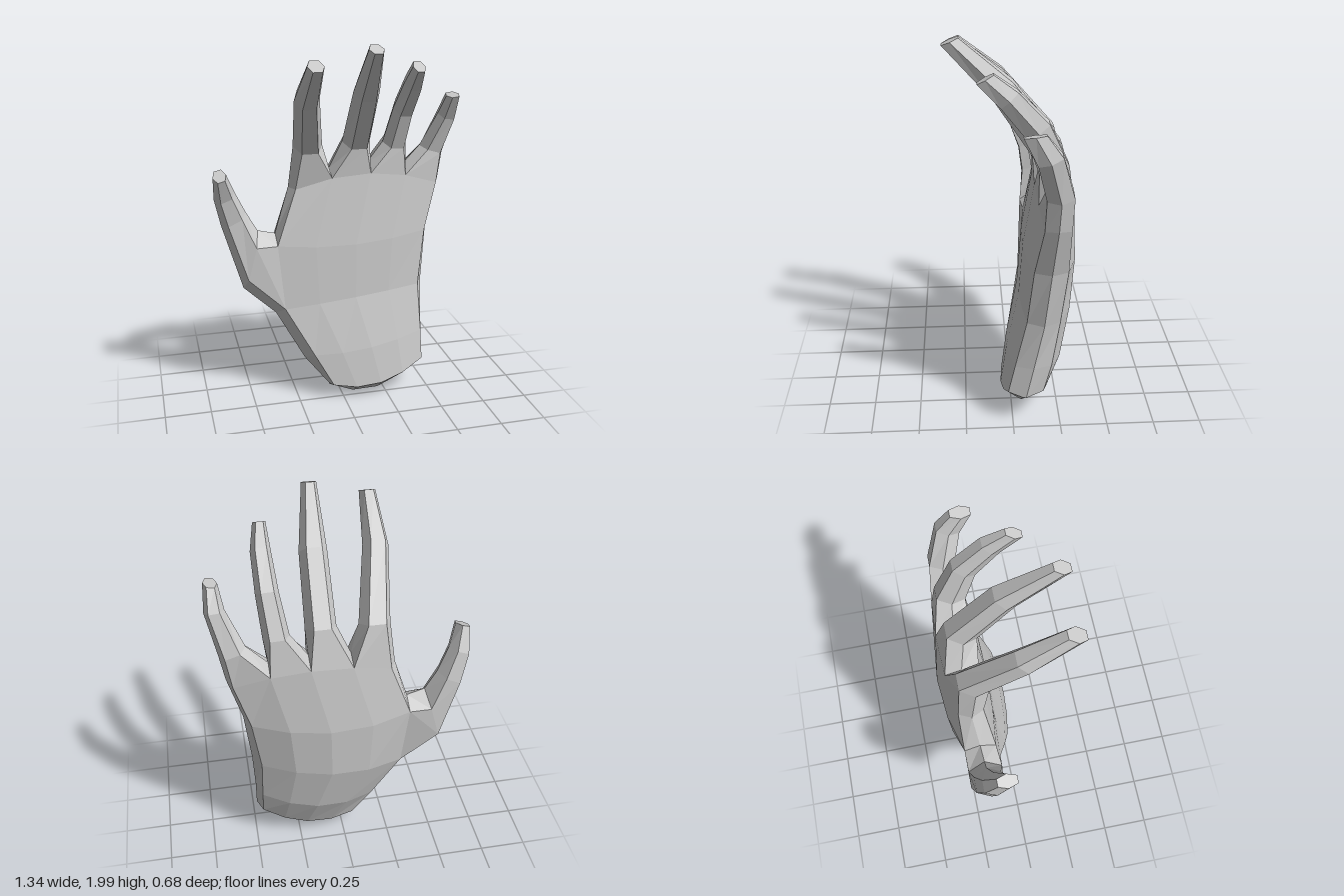
import * as THREE from 'three';

const V = (x, y, z) => new THREE.Vector3(x, y, z);
const mix = (a, b, t) => a + (b - a) * t;
const material = new THREE.MeshStandardMaterial({ color: 0xcccccc, flatShading: true });

// Skins a stack of rings (counter-clockwise seen from the tip) with quads
function loft(name, rings, { cap = false, skip = () => false } = {}) {
  const pos = [];
  const tri = (...pts) => pts.forEach((p) => pos.push(p.x, p.y, p.z));
  for (let r = 0; r < rings.length - 1; r++) {
    const lo = rings[r], hi = rings[r + 1], n = lo.length;
    for (let i = 0; i < n; i++) {
      if (skip(r, i)) continue;
      const j = (i + 1) % n;
      tri(lo[i], lo[j], hi[j]);
      tri(lo[i], hi[j], hi[i]);
    }
  }
  if (cap) {
    const top = rings[rings.length - 1];
    for (let i = 1; i < top.length - 1; i++) tri(top[0], top[i], top[i + 1]);
  }
  const geo = new THREE.BufferGeometry();
  geo.setAttribute('position', new THREE.Float32BufferAttribute(pos, 3));
  geo.computeVertexNormals();
  const mesh = new THREE.Mesh(geo, material);
  mesh.name = name;
  return mesh;
}

// Six-sided finger section: turned by `turn` in the xy plane, pitched forward by `tilt`
function section([x, y, z, turn, tilt, hw, hd]) {
  const c = V(x, y, z);
  const w = V(Math.cos(turn), Math.sin(turn), 0);
  const n = V(Math.sin(turn) * Math.sin(tilt), -Math.cos(turn) * Math.sin(tilt), Math.cos(tilt));
  return [[-0.55, 1], [0.55, 1], [1, 0], [0.55, -1], [-0.55, -1], [-1, 0]].map(([a, b]) =>
    c.clone().addScaledVector(w, a * hw).addScaledVector(n, b * hd));
}

// Palm rows from wrist to knuckles: left and right ends, bow of the row,
// front and back depth (edge, middle), rim offsets at both sides
const columns = [0, 0.25, 0.52, 0.77, 1];
const palmRows = [
  { l: [-0.07, 0.06], r: [0.48, 0.18], bow: -0.115, f: [-0.05, -0.05], b: [-0.05, -0.05], rl: [0, 0], rr: [0, 0] },
  { l: [-0.06, 0.09], r: [0.455, 0.2], bow: -0.06, f: [0.025, 0.055], b: [-0.16, -0.19], rl: [-0.01, -0.03], rr: [0.03, -0.02] },
  { l: [-0.16, 0.27], r: [0.455, 0.36], bow: -0.02, f: [-0.01, 0.02], b: [-0.2, -0.28], rl: [-0.04, -0.05], rr: [0.03, 0] },
  { l: [-0.31, 0.54], r: [0.45, 0.62], bow: 0, f: [-0.07, -0.05], b: [-0.24, -0.335], rl: [-0.04, -0.05], rr: [0.045, 0] },
  { l: [-0.34, 0.9], r: [0.49, 0.93], bow: -0.03, f: [-0.1, -0.07], b: [-0.27, -0.345], rl: [0, 0.05], rr: [0.035, 0] },
  { l: [-0.23, 1.2], r: [0.565, 1.19], bow: 0.075, f: [-0.14, -0.12], b: [-0.27, -0.31], rl: [-0.03, 0], rr: [0.03, 0.01] },
].map(({ l, r, bow, f, b, rl, rr }) => {
  const sheet = ([edge, mid]) => columns.map((t) => {
    const arch = 4 * t * (1 - t);
    return V(mix(l[0], r[0], t), mix(l[1], r[1], t) + bow * arch, mix(edge, mid, arch));
  });
  const front = sheet(f), back = sheet(b), midZ = (f[0] + b[0]) / 2;
  const rimL = V(l[0] + rl[0], l[1] + rl[1], midZ);
  const rimR = V(r[0] + rr[0], r[1] + rr[1], midZ);
  return { front, back, rimL, rimR, ring: [...front, rimR, ...[...back].reverse(), rimL] };
});

// Finger sections: x, y, z, turn, tilt, half width, half depth
const fingers = [
  ['indexFinger', [
    [-0.155, 1.43, -0.175, 0, 0.4, 0.08, 0.08],
    [-0.205, 1.72, 0.07, 0.08, 0.75, 0.066, 0.066],
    [-0.205, 1.91, 0.29, 0, 0.45, 0.042, 0.05]]],
  ['middleFinger', [
    [0.115, 1.44, -0.185, 0, 0.4, 0.078, 0.08],
    [0.113, 1.74, 0.03, 0, 0.75, 0.07, 0.066],
    [0.09, 1.98, 0.285, 0, 0.4, 0.038, 0.045]]],
  ['ringFinger', [
    [0.335, 1.42, -0.2, -0.05, 0.3, 0.066, 0.075],
    [0.36, 1.62, -0.12, -0.05, 0.6, 0.057, 0.065],
    [0.368, 1.775, 0.015, 0, 0.75, 0.05, 0.055],
    [0.358, 1.87, 0.125, 0, 0.5, 0.032, 0.045]]],
  ['littleFinger', [
    [0.552, 1.37, -0.21, -0.3, 0.1, 0.07, 0.065],
    [0.617, 1.57, -0.155, -0.1, 0.35, 0.05, 0.06],
    [0.622, 1.685, -0.085, 0.15, 0.1, 0.035, 0.052]]],
];

const thumbSections = [
  [-0.48, 0.81, -0.18, 1.31, 0, 0.17, 0.09],
  [-0.565, 1.05, -0.18, 0.45, 0.1, 0.075, 0.07],
  [-0.612, 1.19, -0.155, 0.35, 0.3, 0.058, 0.064],
  [-0.637, 1.31, -0.1, 0.25, 0.35, 0.036, 0.055],
];

export function createModel() {
  const hand = new THREE.Group();
  hand.name = 'hand';

  // Palm and wrist, left open where the thumb grows out
  hand.add(loft('palm', palmRows.map((row) => row.ring), { skip: (r, i) => r === 3 && i >= 10 }));

  // Fingers rise from the knuckle row, sharing raised points between them
  const { front, back, rimL, rimR } = palmRows[5];
  const gap = (i) => {
    if (i === 0) return rimL;
    if (i === 4) return rimR;
    return front[i].clone().lerp(back[i], 0.5).add(V(0, 0.035, 0));
  };
  fingers.forEach(([name, sections], i) => {
    const base = [front[i], front[i + 1], gap(i + 1), back[i + 1], back[i], gap(i)];
    hand.add(loft(name, [base, ...sections.map(section)], { cap: true }));
  });

  // Thumb grows from the side opening of the palm
  const lo = palmRows[3], hi = palmRows[4];
  const thumbBase = [lo.front[0], hi.front[0], hi.rimL, hi.back[0], lo.back[0], lo.rimL];
  hand.add(loft('thumb', [thumbBase, ...thumbSections.map(section)], { cap: true }));

  return hand;
}
